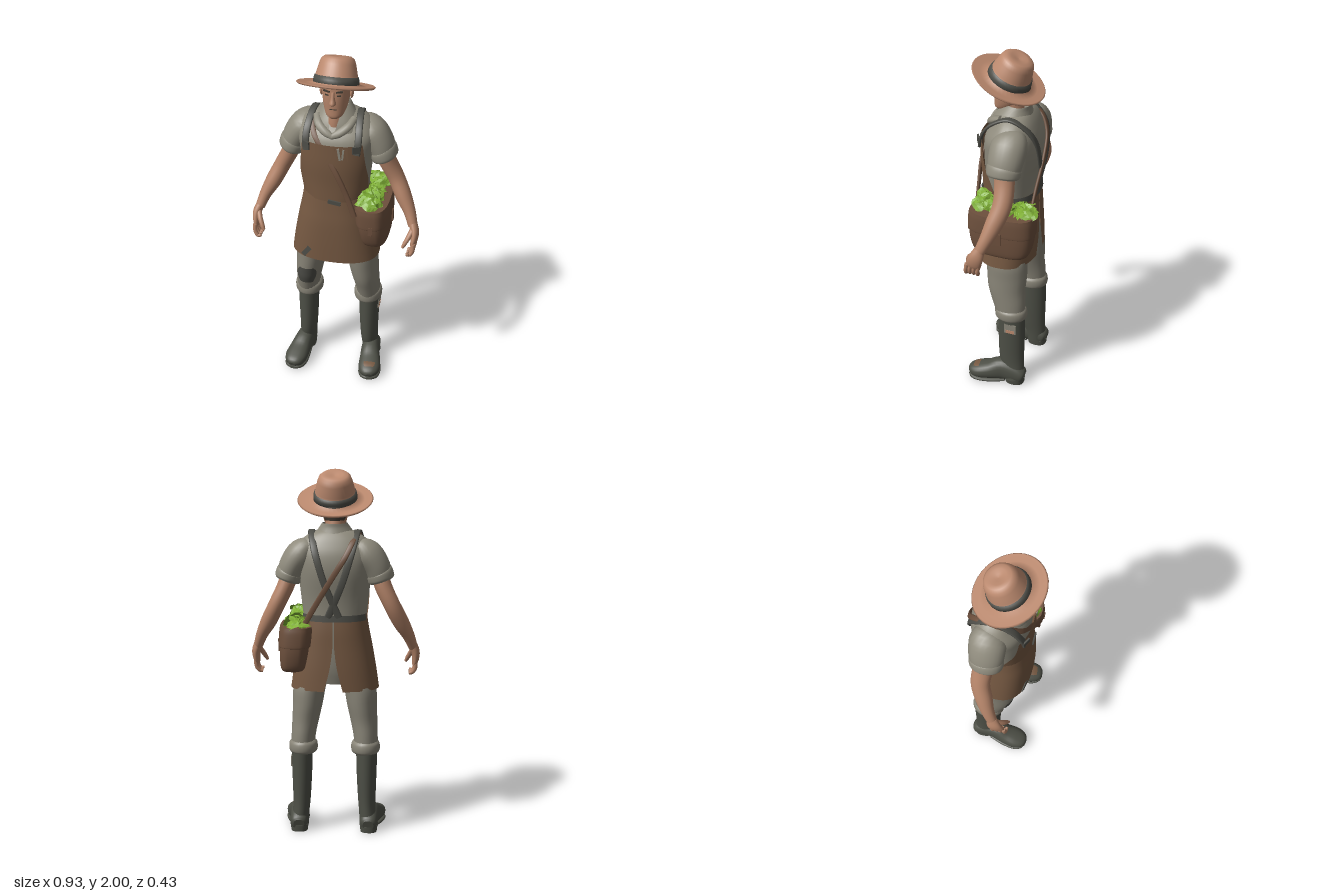
import * as THREE from 'three';

const mat = (name, hex, side = THREE.FrontSide) => {
  const m = new THREE.MeshStandardMaterial({ color: hex, side });
  m.name = name;
  return m;
};

export function createModel() {
  const root = new THREE.Group();
  root.name = 'farmer';
  const skin = mat('skin', 0xb48469), straw = mat('hat tan', 0xbc8a6f);
  const cloth = mat('shirt grey', 0x8f8b7d, THREE.DoubleSide), trouser = mat('trouser grey', 0x888477);
  const apron = mat('apron brown', 0x765942, THREE.DoubleSide), leather = mat('bag brown', 0x6d503d);
  const rubber = mat('boot green grey', 0x4d4f46), dark = mat('strap grey', 0x4e4e48, THREE.DoubleSide);
  const hair = mat('hair brown', 0x443d34), leafy = mat('leaf green', 0x7fb035, THREE.DoubleSide);

  const add = (name, geo, material, parent = root) => {
    const m = new THREE.Mesh(geo, material);
    m.name = name;
    parent.add(m);
    return m;
  };

  // Smooth skin through elliptical sections [x, y, z, halfWidth, halfDepth, gapAngle].
  // along: sections face along the path; otherwise they lie level. A gap leaves the skin open.
  function loft(rows, { along = false, seg = 24, pow = 1, back = false, sub = 4 } = {}) {
    const curve = (f) => new THREE.CatmullRomCurve3(rows.map(f), false, 'catmullrom', 0.5);
    const path = curve((r) => new THREE.Vector3(r[0], r[1], r[2]));
    const size = curve((r) => new THREE.Vector3(r[3], r[4], r[5] || 0));
    const open = rows.some((r) => r[5]);
    const n = (rows.length - 1) * sub, rings = [];
    for (let i = 0; i <= n; i++) rings.push([i / n, 1]);
    if (!open) { rings.unshift([0, 0], [0, 1]); rings.push([1, 1], [1, 0]); }
    const cols = open ? seg + 1 : seg, pos = [], idx = [];
    const X = new THREE.Vector3(1, 0, 0);
    const p = (v) => Math.sign(v) * Math.abs(v) ** pow;
    for (const [t, k] of rings) {
      const c = path.getPoint(t), s = size.getPoint(t);
      const T = along ? path.getTangent(t) : new THREE.Vector3(0, Math.sign(rows.at(-1)[1] - rows[0][1]), 0);
      const U = X.clone().addScaledVector(T, -X.dot(T)).normalize();
      const V = U.clone().cross(T);
      for (let j = 0; j < cols; j++) {
        const a = (back ? -1 : 1) * Math.PI / 2 + (Math.PI - s.z) * (2 * j / seg - 1);
        const v = c.clone().addScaledVector(U, k * s.x * p(Math.cos(a))).addScaledVector(V, k * s.y * p(Math.sin(a)));
        pos.push(v.x, v.y, v.z);
      }
    }
    for (let i = 0; i < rings.length - 1; i++) {
      for (let j = 0; j < seg; j++) {
        const a = i * cols + j, b = i * cols + (j + 1) % cols, c = a + cols, d = b + cols;
        idx.push(a, c, b, b, c, d);
      }
    }
    const g = new THREE.BufferGeometry();
    g.setAttribute('position', new THREE.Float32BufferAttribute(pos, 3));
    g.setIndex(idx);
    g.computeVertexNormals();
    return g;
  }
  const half = (h) => Math.PI - h;
  const box = (name, w, h, d, x, y, z, material, ry = 0, rz = 0) => {
    const m = add(name, new THREE.BoxGeometry(w, h, d), material);
    m.position.set(x, y, z);
    m.rotation.set(0, ry, rz);
  };
  const strap = (name, pts, w, material) =>
    add(name, loft(pts.map((q) => [...q, w, 0.008]), { along: true, seg: 12, pow: 0.6, sub: 6 }), material);

  // Body
  add('shirt', loft([[0, 1.14, 0, .165, .13], [0, 1.3, -.005, .183, .138], [0, 1.45, -.015, .2, .155],
    [0, 1.55, -.018, .21, .148], [0, 1.62, -.03, .185, .11], [0, 1.665, -.03, .13, .082], [0, 1.69, -.03, .06, .055]], { pow: .88, seg: 32 }), cloth);
  add('hips', loft([[0, .84, 0, .12, .1], [0, .95, 0, .165, .12], [0, 1.18, 0, .16, .125]]), trouser);
  add('neck', loft([[0, 1.58, .0, .055, .08], [0, 1.64, .005, .055, .075], [0, 1.74, .005, .053, .06]]), skin);
  add('collar', loft([[0, 1.6, -.005, .14, .125, .08], [0, 1.65, -.01, .115, .105, .2],
    [0, 1.695, -.022, .085, .08, .4], [0, 1.72, -.035, .068, .066, .7]], { back: true }), cloth);
  for (const s of [1, -1]) {
    add('neckerchief', loft([[s * .1, 1.66, .03, .02, .016], [s * .078, 1.635, .082, .023, .018],
      [s * .035, 1.605, .112, .022, .016], [s * -.005, 1.585, .122, .014, .012]], { along: true, seg: 12 }), cloth);
  }

  // Head
  add('head', loft([[0, 1.674, .058, .025, .03], [0, 1.69, .048, .046, .05], [0, 1.73, .025, .062, .073],
    [0, 1.78, .012, .071, .087], [0, 1.84, .004, .077, .092], [0, 1.9, 0, .075, .088], [0, 1.94, -.01, .05, .06]], { pow: .92 }), skin);
  add('hair', loft([[0, 1.735, -.04, .052, .048], [0, 1.78, -.034, .077, .062], [0, 1.84, -.022, .088, .065], [0, 1.9, -.022, .08, .062]]), hair);
  add('nose', loft([[0, 1.762, .096, .014, .016], [0, 1.773, .1, .018, .025], [0, 1.8, .096, .011, .017], [0, 1.835, .09, .009, .01]], { seg: 12 }), skin);
  box('mouth', .036, .004, .008, 0, 1.735, .095, hair);
  for (const s of [1, -1]) {
    box('eyebrow', .036, .008, .009, s * .034, 1.837, .091, hair, s * .25, s * .08);
    box('eye', .02, .007, .007, s * .032, 1.815, .09, hair, s * .25);
    const ear = add('ear', new THREE.SphereGeometry(.025, 12, 10), skin);
    ear.position.set(s * .08, 1.795, .005);
    ear.scale.set(.4, 1.2, .75);
  }

  // Hat tipped towards the back
  const hat = new THREE.Group();
  hat.name = 'hat';
  hat.position.set(0, 1.838, .025);
  hat.rotation.x = -.41;
  root.add(hat);
  const lathe = (pts) => new THREE.LatheGeometry(pts.map((q) => new THREE.Vector2(...q)), 40);
  add('brimAndCrown', lathe([[0, .01], [.1, .005], [.16, -.006], [.198, -.002], [.206, .006], [.199, .012], [.16, .005],
    [.115, .014], [.108, .06], [.095, .115], [.086, .138], [.07, .151], [.045, .153], [.02, .146], [0, .144]]), straw, hat);
  add('hatBand', lathe([[.108, .009], [.12, .013], [.119, .033], [.114, .05], [.1, .053]]), dark, hat);

  // Limbs, mirrored
  for (const s of [1, -1]) {
    const L = (name, rows, m, o) => add(name, loft(rows.map(([x, ...r]) => [s * x, ...r]), o), m);
    const A = { along: true };
    L('sleeve', [[.12, 1.585, -.04, .055, .078], [.175, 1.558, -.046, .079, .098], [.222, 1.497, -.044, .076, .096], [.25, 1.43, -.04, .068, .086]], cloth, A);
    L('sleeveCuff', [[.238, 1.462, -.042, .071, .088], [.243, 1.45, -.041, .076, .093], [.252, 1.42, -.04, .075, .091], [.256, 1.408, -.04, .066, .083]], cloth, A);
    L('arm', [[.235, 1.48, -.035, .05, .055], [.265, 1.38, -.052, .047, .055], [.315, 1.275, -.058, .045, .052],
      [.362, 1.18, -.03, .044, .048], [.404, 1.1, .0, .033, .037], [.43, 1.03, .03, .026, .03]], skin, A);
    L('palm', [[.428, 1.045, .027, .024, .03], [.444, 1.0, .043, .023, .04], [.443, .955, .058, .019, .043], [.436, .93, .064, .012, .038]], skin, A);
    for (let f = 0; f < 4; f++) {
      const z = .03 + f * .022, y = .943 - .004 * Math.abs(f - 1.5);
      L('finger', [[.444, y + .015, z, .012, .012], [.443, y - .025, z + .006, .012, .012], [.428, y - .052, z + .01, .011, .011],
        [.408, y - .058 + f * .003, z + .013, .008, .008]], skin, { along: true, seg: 8 });
    }
    L('thumb', [[.432, 1.015, .055, .016, .016], [.416, .985, .085, .014, .015], [.4, .955, .104, .012, .013], [.389, .932, .113, .008, .008]], skin, { along: true, seg: 10 });

    L('trouserLeg', [[.178, .46, -.055, .064, .08], [.172, .55, -.04, .068, .095], [.162, .63, -.025, .075, .106],
      [.15, .72, -.022, .083, .114], [.138, .82, -.018, .09, .116], [.1, .92, -.005, .085, .11], [.09, 1.0, 0, .075, .1]], trouser);
    L('trouserCuff', [[.173, .447, -.055, .066, .08], [.173, .458, -.055, .077, .09], [.173, .48, -.055, .08, .093],
      [.173, .502, -.054, .077, .09], [.173, .515, -.053, .066, .082]], trouser);

    L('bootShaft', [[.195, .03, -.075, .053, .063], [.187, .1, -.07, .047, .066], [.182, .18, -.061, .049, .073],
      [.18, .32, -.06, .055, .077], [.18, .46, -.06, .059, .078]], rubber);
    L('bootFoot', [[.193, .045, -.142, .03, .03], [.194, .05, -.125, .045, .045], [.196, .065, -.075, .05, .06], [.2, .075, -.01, .052, .068],
      [.212, .06, .06, .06, .052], [.22, .05, .12, .063, .043], [.226, .043, .163, .048, .033], [.229, .036, .182, .02, .016]], rubber, { along: true, pow: .85 });
    L('bootSole', [[.2, .018, -.03, .045, .01], [.212, .014, .05, .06, .013], [.22, .014, .12, .064, .013],
      [.226, .016, .165, .048, .012], [.229, .018, .184, .018, .008]], rubber, { along: true, pow: .7 });
    L('bootHeel', [[.194, .0, -.085, .046, .054], [.194, .035, -.085, .05, .057]], rubber, { pow: .8 });

    // Braces cross on the back
    strap('brace', [[.135, 1.5, .135], [.14, 1.57, .12], [.135, 1.635, .072], [.125, 1.676, -.02], [.115, 1.638, -.105],
      [.092, 1.55, -.163], [.045, 1.4, -.172], [-.03, 1.22, -.148]].map(([x, y, z]) => [s * x, y, z]), .019, dark);
    box('braceBuckle', .045, .04, .009, s * .135, 1.535, .143, dark, s * .5);
  }

  // Patches
  add('kneePatch', loft([[-.167, .565, -.036, .073, .101, half(.55)], [-.164, .61, -.027, .077, .108, half(.75)],
    [-.16, .65, -.023, .08, .112, half(.75)], [-.156, .685, -.021, .083, .116, half(.5)]]), dark);
  box('bootPatch', .006, .06, .07, .235, .4, -.07, trouser);
  box('bootPatchTear', .006, .02, .05, .237, .382, -.07, straw);
  add('toeScuff', loft([[.218, .05, .105, .064, .0465, half(.4)], [.222, .048, .13, .062, .0435, half(.5)],
    [.2245, .0455, .15, .055, .039, half(.4)]], { along: true, back: true, pow: .85, seg: 12 }), apron);

  // Apron with a slit at the back
  add('apronSkirt', loft([[0, .81, .003, .243, .162, .16], [0, .93, .003, .226, .162, .06], [0, 1.05, .003, .205, .159, .012],
    [0, 1.14, 0, .187, .154, .008], [0, 1.225, 0, .174, .147, .008]], { seg: 48, pow: .84 }), apron);
  add('apronBib', loft([[0, 1.2, 0, .177, .152, half(1.45)], [0, 1.3, -.002, .194, .156, half(1.25)],
    [0, 1.42, -.005, .212, .165, half(.95)], [0, 1.55, -.012, .222, .168, half(.78)]], { pow: .9 }), apron);
  add('apronTie', loft([[0, 1.195, 0, .184, .156, half(1.2)], [0, 1.23, 0, .18, .154, half(1.2)]], { back: true, pow: .84 }), dark);
  box('apronKnot', .07, .022, .009, .02, 1.2, .157, dark, 0, -.15);
  box('bibPocket', .07, .09, .005, .055, 1.495, .15, apron, .12);
  box('pocketTool', .012, .07, .008, .045, 1.505, .156, cloth, .1, .15);
  box('pocketTool', .01, .06, .008, .066, 1.505, .155, cloth, .1, -.1);
  box('apronStain', .028, .07, .006, -.14, .85, .146, dark, -.3, -.6);

  // Shoulder bag on the left hip
  add('bag', loft([[.228, .91, -.02, .045, .1], [.223, .928, -.02, .07, .152], [.217, 1.0, -.018, .082, .176],
    [.211, 1.08, -.017, .088, .182], [.206, 1.16, -.017, .09, .178]], { pow: .66, seg: 32 }), leather);
  add('bagFlap', loft([[.211, 1.055, -.017, .09, .184], [.211, 1.062, -.017, .094, .188], [.206, 1.13, -.017, .096, .186],
    [.204, 1.165, -.017, .093, .18]], { pow: .66, seg: 32 }), leather);
  box('bagClasp', .008, .07, .025, .307, 1.045, -.03, leather);
  box('bagClasp', .022, .05, .008, .22, 1.05, .17, leather);
  strap('bagStrap', [[.13, 1.13, .16], [.09, 1.25, .161], [.035, 1.38, .163], [-.04, 1.5, .136], [-.1, 1.58, .098], [-.13, 1.655, .01],
    [-.108, 1.635, -.11], [-.065, 1.55, -.17], [.01, 1.43, -.181], [.1, 1.28, -.17], [.18, 1.14, -.165]], .015, leather);

  // Ruffled lettuce heads spilling from the bag: broad leaves face outwards around each heart
  let seed = 7;
  const rnd = () => (seed = (seed * 16807) % 2147483647) / 2147483647;
  const heads = [[.195, 1.19, .085, .058, .055, .045], [.2, 1.17, -.02, .055, .045, .05], [.195, 1.175, -.135, .045, .045, .045]];
  for (const [cx, cy, cz, rx, ry, rz] of heads) {
    for (let i = 0; i < 13; i++) {
      const g = new THREE.PlaneGeometry(.085, .085, 4, 4), P = g.attributes.position, ph = rnd() * 6;
      for (let k = 0; k < P.count; k++) {
        const x = P.getX(k), y = P.getY(k), r = Math.hypot(x, y);
        const q = Math.min(1, .047 / (r + 1e-6));
        P.setXYZ(k, x * q, y * q, -2 * r * r + r * .12 * Math.sin(4 * Math.atan2(y, x) + ph));
      }
      const flat = g.toNonIndexed();
      flat.computeVertexNormals();
      const up = 1 - i / 14, ring = Math.sqrt(1 - up * up), turn = i * 2.4;
      const dir = new THREE.Vector3(ring * Math.cos(turn), up, ring * Math.sin(turn));
      const leaf = add('lettuceLeaf', flat, leafy);
      leaf.position.set(cx + dir.x * rx, cy + dir.y * ry, cz + dir.z * rz);
      dir.add(new THREE.Vector3(rnd() - .5, rnd() * .8, rnd() - .5)).normalize();
      leaf.quaternion.setFromUnitVectors(new THREE.Vector3(0, 0, 1), dir);
    }
  }
  return root;
}
